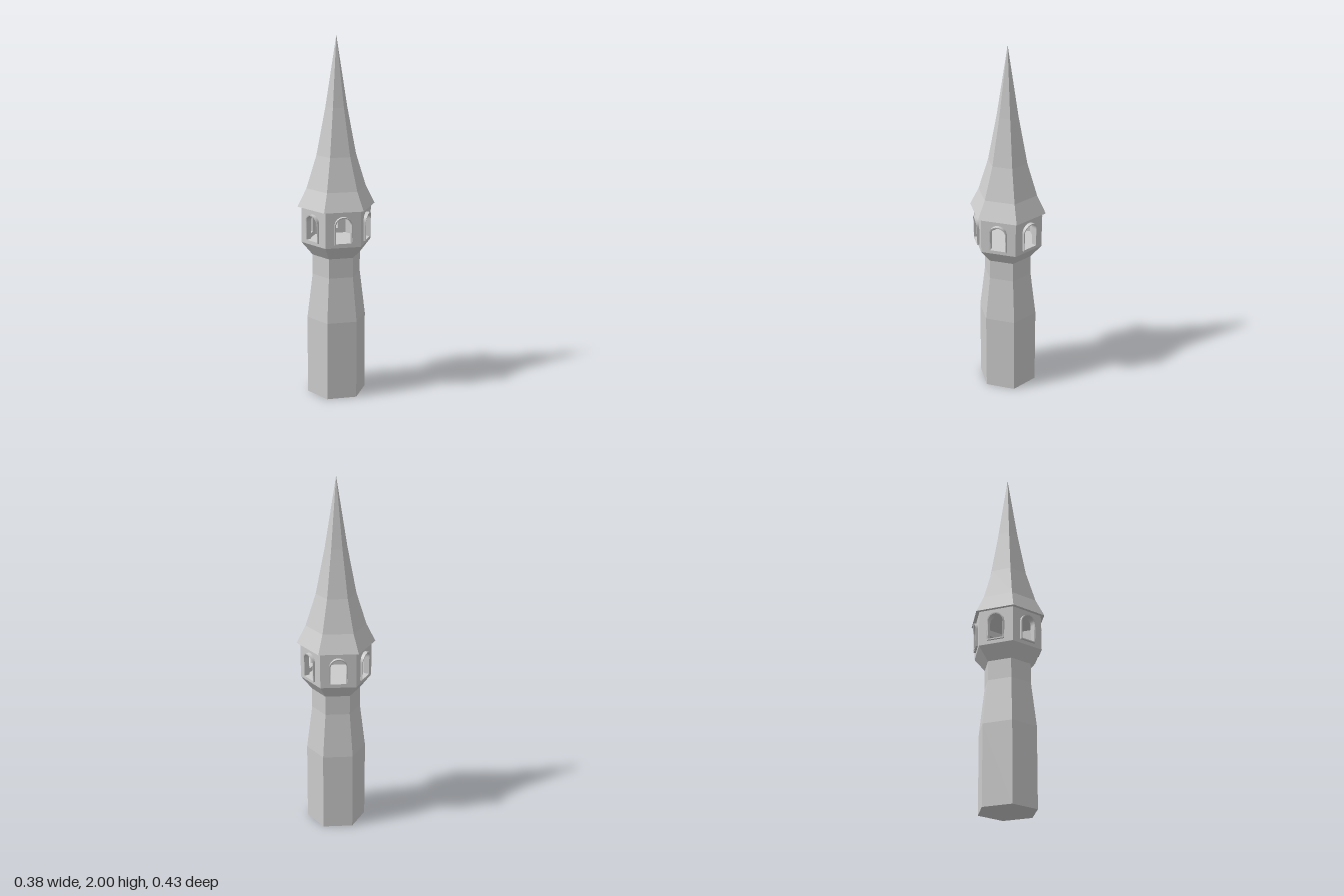
import * as THREE from 'three';

const SIDES = 6;
const APOTHEM = Math.cos(Math.PI / SIDES);
const material = new THREE.MeshStandardMaterial({ color: 0xcccccc, flatShading: true });

// Faceted solid turned from [radius, height] pairs, listed from the bottom up
function hexSolid(name, profile) {
  const points = profile.map(([r, y]) => new THREE.Vector2(r, y));
  const mesh = new THREE.Mesh(new THREE.LatheGeometry(points, SIDES), material);
  mesh.name = name;
  return mesh;
}

// Round-headed window outline
function archOutline(Type, half, bottom, top) {
  const path = new Type();
  path.moveTo(-half, bottom);
  path.lineTo(half, bottom);
  path.lineTo(half, top - half);
  path.absarc(0, top - half, half, 0, Math.PI, false);
  path.lineTo(-half, bottom);
  return path;
}

export function createModel() {
  const model = new THREE.Group();
  model.name = 'tower';

  const roomRadius = 0.195, roomBottom = 0.88, roomTop = 1.08;
  const wallDistance = roomRadius * APOTHEM, wallThickness = 0.02;
  const half = 0.048, sill = 0.9, head = 1.052, border = 0.006;

  // Shaft with a narrowed neck and a flared support for the room
  model.add(hexSolid('shaft', [
    [0, 0], [0.165, 0], [0.165, 0.445], [0.134, 0.695],
    [0.134, 0.805], [roomRadius, roomBottom], [0, roomBottom],
  ]));

  // Wall panel with a window opening
  const wallShape = new THREE.Shape([
    new THREE.Vector2(-roomRadius / 2, roomBottom), new THREE.Vector2(roomRadius / 2, roomBottom),
    new THREE.Vector2(roomRadius / 2, roomTop), new THREE.Vector2(-roomRadius / 2, roomTop),
  ]);
  wallShape.holes.push(archOutline(THREE.Path, half, sill, head));
  const wallGeometry = new THREE.ExtrudeGeometry(wallShape, {
    depth: wallThickness, bevelEnabled: false, curveSegments: 12,
  });
  wallGeometry.translate(0, 0, wallDistance - wallThickness);

  // Window surround, its arch leaning slightly outward
  const frameShape = archOutline(THREE.Shape, half, sill, head);
  frameShape.holes.push(archOutline(THREE.Path, half - border, sill + border, head - border));
  const frameGeometry = new THREE.ExtrudeGeometry(frameShape, {
    depth: wallThickness + 0.012, bevelEnabled: false, curveSegments: 12,
  });
  frameGeometry.translate(0, 0, wallDistance - wallThickness);
  const position = frameGeometry.attributes.position;
  for (let i = 0; i < position.count; i++) {
    const rise = Math.max(0, position.getY(i) - (head - half)) / half;
    if (position.getZ(i) > wallDistance) position.setZ(i, position.getZ(i) + 0.009 * rise);
  }
  frameGeometry.computeVertexNormals();

  // Six sides of the lookout room
  const room = new THREE.Group();
  room.name = 'lookoutRoom';
  for (let i = 0; i < SIDES; i++) {
    const side = new THREE.Group();
    side.name = `roomSide${i + 1}`;
    side.rotation.y = ((i + 0.5) * Math.PI * 2) / SIDES;
    const wall = new THREE.Mesh(wallGeometry, material);
    wall.name = 'wall';
    const frame = new THREE.Mesh(frameGeometry, material);
    frame.name = 'windowFrame';
    side.add(wall, frame);
    room.add(side);
  }
  model.add(room);

  // Concave spire with overhanging eaves
  model.add(hexSolid('spire', [
    [0, roomTop], [0.216, roomTop], [0.166, 1.18], [0.11, 1.36], [0.06, 1.62], [0, 2],
  ]));

  return model;
}
